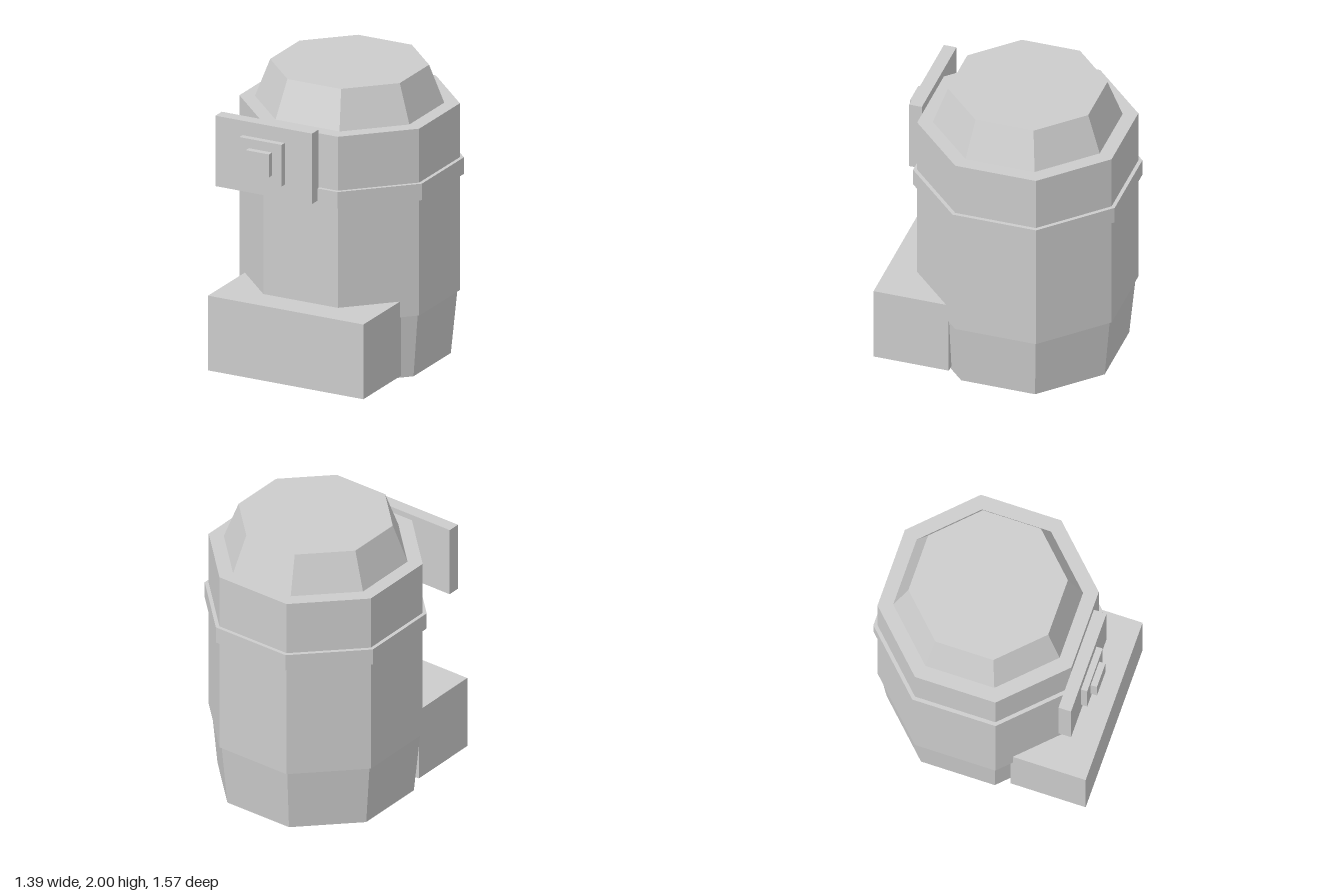
import * as THREE from 'three';

export function createModel() {
  const model = new THREE.Group();
  model.name = 'canister';
  const grey = new THREE.MeshStandardMaterial({ color: 0xcccccc, flatShading: true });
  grey.name = 'plain grey';

  const add = (name, geometry, x, y, z) => {
    const mesh = new THREE.Mesh(geometry, grey);
    mesh.name = name;
    mesh.position.set(x, y, z);
    model.add(mesh);
  };

  // Octagonal section with flats facing the axes; sizes are centre-to-flat
  const octagon = (name, topFlat, bottomFlat, y0, y1) => {
    const k = 1 / Math.cos(Math.PI / 8);
    const geometry = new THREE.CylinderGeometry(topFlat * k, bottomFlat * k, y1 - y0, 8);
    geometry.rotateY(Math.PI / 8);
    add(name, geometry, 0, (y0 + y1) / 2, -0.088);
  };

  // Box given by its limits on each axis
  const block = (name, [x0, x1], [y0, y1], [z0, z1]) =>
    add(name, new THREE.BoxGeometry(x1 - x0, y1 - y0, z1 - z0),
      (x0 + x1) / 2, (y0 + y1) / 2, (z0 + z1) / 2);

  // Barrel, from the ground up
  octagon('taperedBase', 0.655, 0.615, 0, 0.44);
  octagon('body', 0.67, 0.67, 0.44, 1.74);
  octagon('band', 0.695, 0.695, 1.25, 1.365);
  octagon('cap', 0.483, 0.575, 1.74, 2);

  // Box at the foot of the front
  block('frontBox', [-0.58, 0.577], [0.03, 0.55], [0.265, 0.783]);

  // Stepped panel high on the front
  block('panelPlate', [-0.58, 0.14], [1.28, 1.77], [0.595, 0.682]);
  block('panelStep', [-0.378, -0.063], [1.38, 1.67], [0.682, 0.725]);
  block('panelButton', [-0.307, -0.134], [1.445, 1.605], [0.725, 0.768]);

  return model;
}
